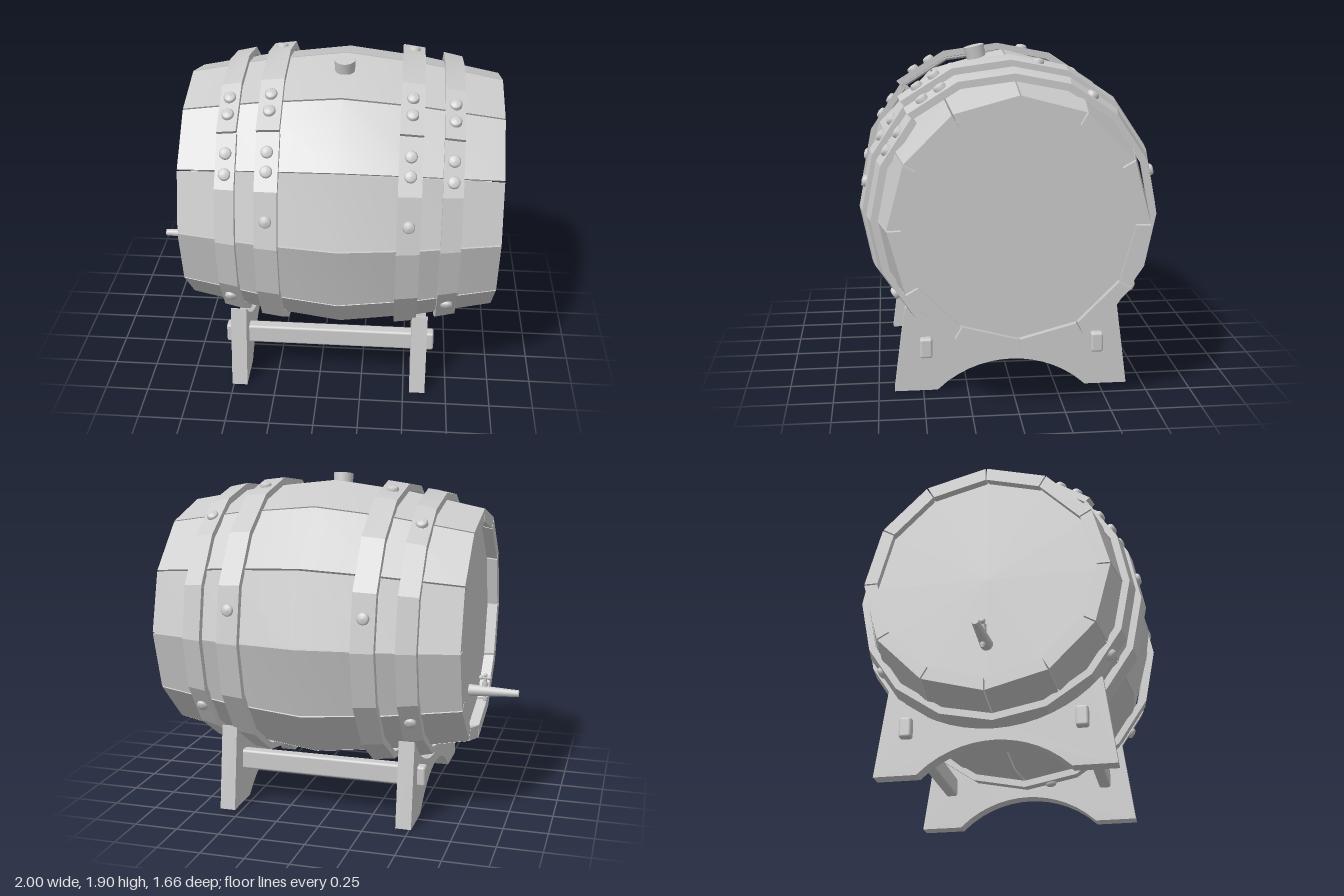
import * as THREE from 'three';
import { toCreasedNormals } from 'three/addons/utils/BufferGeometryUtils.js';
import { RoundedBoxGeometry } from 'three/addons/geometries/RoundedBoxGeometry.js';

const CX = 0.115, CY = 1.035; // barrel centre; its axis runs along x
const mat = new THREE.MeshStandardMaterial({ color: 0xcccccc });
const rad = THREE.MathUtils.degToRad;

// point on the barrel: angle in degrees from the top towards the front
const polar = (x, r, deg) => [x, CY + r * Math.cos(rad(deg)), r * Math.sin(rad(deg))];

function add(parent, name, geometry, x = 0, y = 0, z = 0) {
  const mesh = new THREE.Mesh(geometry, mat);
  mesh.name = name;
  mesh.position.set(x, y, z);
  parent.add(mesh);
  return mesh;
}

function group(parent, name) {
  const g = new THREE.Group();
  g.name = name;
  parent.add(g);
  return g;
}

// closed solid through four-cornered sections
function loft(sections) {
  const pos = [];
  const quad = (a, b, c, d) => pos.push(...a, ...b, ...c, ...a, ...c, ...d);
  for (let i = 0; i < sections.length - 1; i++) {
    const s = sections[i], t = sections[i + 1];
    for (let k = 0; k < 4; k++) {
      const n = (k + 1) % 4;
      quad(s[k], s[n], t[n], t[k]);
    }
  }
  const [a, b, c, d] = sections[0];
  quad(d, c, b, a);
  quad(...sections[sections.length - 1]);
  const g = new THREE.BufferGeometry();
  g.setAttribute('position', new THREE.Float32BufferAttribute(pos, 3));
  return toCreasedNormals(g, 0.35);
}

// twelve bulging staves with fine gaps, and two recessed heads
function buildBody(parent) {
  const body = group(parent, 'barrelBody');
  const stations = [[-0.885, 0.685], [-0.45, 0.77], [0, 0.825], [0.45, 0.77], [0.885, 0.685]];
  for (let i = 0; i < 12; i++) {
    const a0 = i * 30 + 0.35, a1 = i * 30 + 29.65;
    add(body, 'stave', loft(stations.map(([x, r]) => [
      polar(CX + x, r, a0), polar(CX + x, r, a1),
      polar(CX + x, r - 0.075, a1), polar(CX + x, r - 0.075, a0),
    ])));
  }
  for (const side of [-1, 1]) {
    const head = add(body, 'head', new THREE.CylinderGeometry(0.63, 0.63, 0.04, 12), CX + side * 0.8, CY, 0);
    head.rotation.z = Math.PI / 2;
  }
}

// sixteen-sided iron hoop whose end laps over its start
const STEP = 22.5, SEAM = 45;
const lift = (i) => 0.03 * THREE.MathUtils.clamp((i - 14) / 1.5, 0, 1);

function buildHoop(parent, name, side, far, near, rFar, rNear, rivetAngles) {
  const hoop = group(parent, name);
  let ends = [[CX + side * far, rFar], [CX + side * near, rNear]];
  if (side > 0) ends.reverse();
  const [[x0, r0], [x1, r1]] = ends;
  const sections = [];
  for (let i = 0; i <= 16; i++) {
    const a = SEAM + i * STEP, up = lift(i);
    sections.push([
      polar(x0, r0 - 0.04 + up, a), polar(x1, r1 - 0.04 + up, a),
      polar(x1, r1 + up, a), polar(x0, r0 + up, a),
    ]);
  }
  add(hoop, 'band', loft(sections));

  const profile = [[0.034, -0.015], [0.034, 0.01], [0.026, 0.02], [0, 0.024]];
  const rivet = new THREE.LatheGeometry(profile.map((p) => new THREE.Vector2(...p)), 14);
  for (const a of rivetAngles) {
    const turn = (((a - SEAM) % 360) + 360) % 360 / STEP;
    const offset = (turn % 1 - 0.5) * STEP;
    const r = (r0 + r1) / 2 * Math.cos(rad(STEP / 2)) / Math.cos(rad(offset)) + lift(turn);
    const m = add(hoop, 'rivet', rivet, ...polar((x0 + x1) / 2, r, a));
    m.rotation.x = rad(a - offset);
  }
}

// tapered spout with a turning key
function buildTap(parent) {
  const tap = group(parent, 'tap');
  const spout = add(tap, 'spout', new THREE.CylinderGeometry(0.02, 0.036, 0.31, 16), -0.845, 0.64, 0);
  spout.rotation.z = Math.PI / 2;
  add(tap, 'keyStem', new THREE.CylinderGeometry(0.01, 0.01, 0.165, 10), -0.8, 0.662, 0);
  add(tap, 'keyCollar', new THREE.CylinderGeometry(0.019, 0.019, 0.02, 12), -0.8, 0.685, 0);
  add(tap, 'keyFoot', new THREE.CylinderGeometry(0.015, 0.015, 0.015, 12), -0.8, 0.597, 0);
  const bar = add(tap, 'keyHandle', new THREE.CylinderGeometry(0.009, 0.009, 0.06, 10), -0.8, 0.722, 0);
  bar.rotation.z = Math.PI / 2;
  for (const s of [-1, 1])
    add(tap, 'keyKnob', new THREE.SphereGeometry(0.014, 10, 8), -0.8 + s * 0.025, 0.722, 0);
  add(tap, 'keyTop', new THREE.SphereGeometry(0.013, 10, 8), -0.8, 0.738, 0);
}

// two cradle plates joined by two through rails
function buildStand(parent) {
  const stand = group(parent, 'stand');
  const shape = new THREE.Shape();
  shape.moveTo(-0.66, 0);
  shape.lineTo(-0.42, 0);
  for (let i = 1; i <= 14; i++) { // arch between the feet
    const z = -0.42 + 0.06 * i;
    shape.lineTo(z, Math.sqrt(0.604 ** 2 - z * z) - 0.434);
  }
  shape.lineTo(0.66, 0);
  shape.lineTo(0.595, 0.49);
  for (let i = 0; i <= 16; i++) { // saddle under the barrel
    const a = rad(47 - (94 * i) / 16);
    shape.lineTo(0.8 * Math.sin(a), CY - 0.8 * Math.cos(a));
  }
  shape.lineTo(-0.595, 0.49);
  shape.closePath();
  const plate = new THREE.ExtrudeGeometry(shape, { depth: 0.09, bevelEnabled: false });
  plate.rotateY(Math.PI / 2);
  add(stand, 'cradlePlate', plate, -0.51, 0, 0);
  add(stand, 'cradlePlate', plate, 0.538, 0, 0);
  for (const s of [-1, 1])
    add(stand, 'rail', new RoundedBoxGeometry(1.225, 0.115, 0.07, 2, 0.014), 0.058, 0.262, s * 0.482);
}

export function createModel() {
  const model = new THREE.Group();
  model.name = 'barrelOnStand';
  buildBody(model);
  for (const side of [-1, 1]) {
    buildHoop(model, 'outerHoop', side, 0.665, 0.555, 0.768, 0.792,
      [29.5, 37.5, 53, 61.5, 123, -123, -33]);
    buildHoop(model, 'innerHoop', side, 0.445, 0.318, 0.815, 0.832,
      [29.5, 37, 52.5, 60, 79, 169, -77, -11]);
  }
  // bung
  const bung = add(model, 'bung', new THREE.CylinderGeometry(0.059, 0.054, 0.1, 20), ...polar(CX, 0.815, 11));
  bung.rotation.x = rad(13);
  buildTap(model);
  buildStand(model);
  return model;
}
